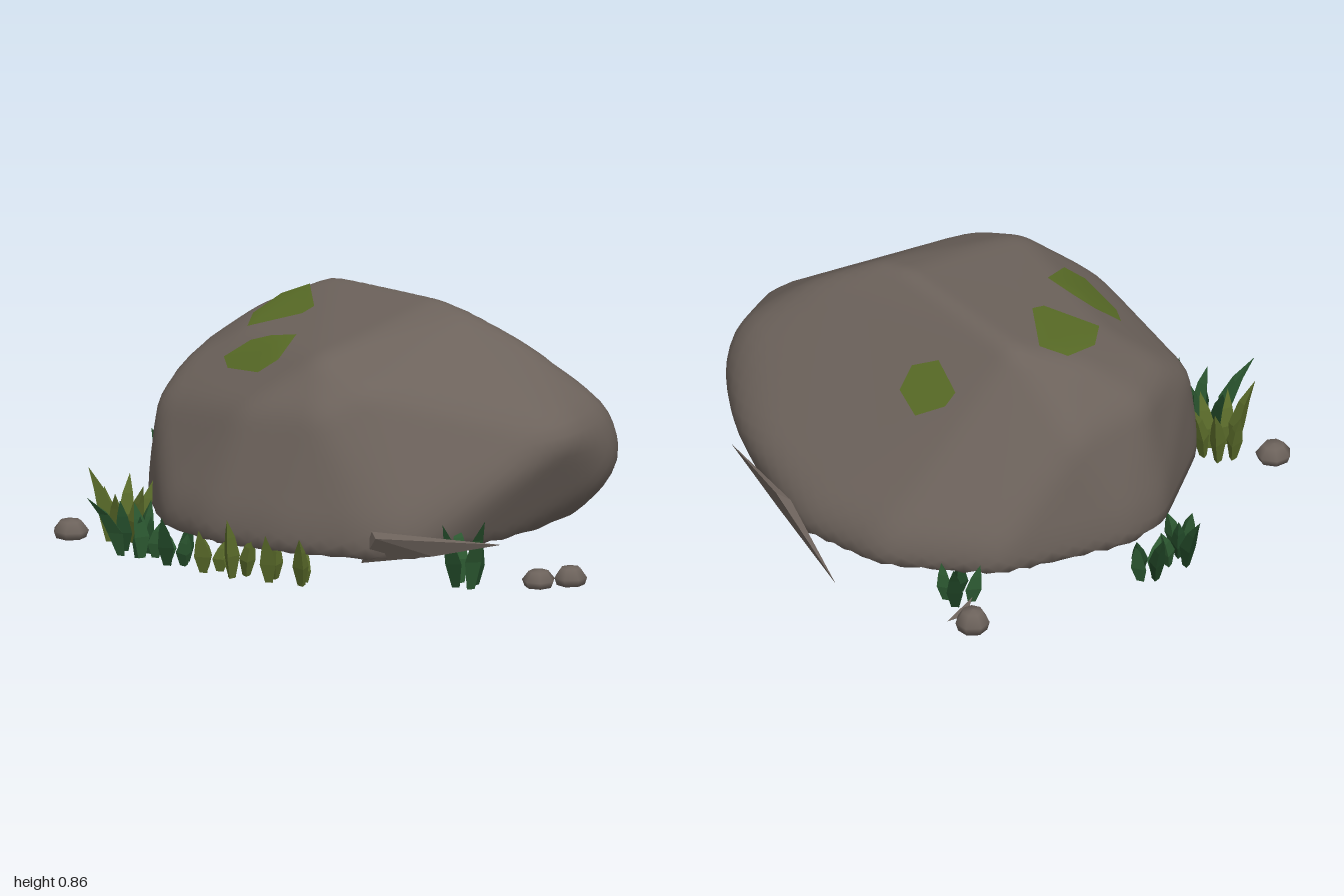
import * as THREE from 'three';
import { mergeVertices } from 'three/addons/utils/BufferGeometryUtils.js';
import { ConvexGeometry } from 'three/addons/geometries/ConvexGeometry.js';

const mat = (name, color, extra = {}) => Object.assign(new THREE.MeshStandardMaterial({ color, ...extra }), { name });
const V = (p) => new THREE.Vector3(...p);

// small seeded generator for natural variation
let seed = 7;
const rnd = () => (seed = (seed * 16807) % 2147483647) / 2147483647;

// main corners of the boulder above its foot
const CROWN = [
  [0.3, 0.865, 0.05], [-0.2, 0.82, -0.3], [0.43, 0.84, 0.12], [0.65, 0.74, 0.1], [0.92, 0.54, 0.05],
  [0, 0.755, 0.55], [0.2, 0.67, 0.66], [-0.41, 0.74, -0.2], [-0.42, 0.7, 0.1], [-0.3, 0.63, 0.42],
  [-0.63, 0.58, -0.15], [-0.63, 0.58, 0.12], [-0.69, 0.48, 0.25], [-0.25, 0.57, 0.65], [0.05, 0.6, 0.74],
  [-0.45, 0.55, -0.42], [0.975, 0.38, 0.05], [0.95, 0.25, 0.1], [0.89, 0.49, 0.38], [0.83, 0.13, 0.1],
  [0.89, 0.28, -0.18], [0.75, 0.28, -0.34],
];
// outline of the foot in x and z
const FOOT = [
  [-0.71, -0.2], [-0.63, -0.36], [-0.22, -0.67], [0.2, -0.71], [0.52, -0.56], [0.7, -0.3], [0.74, 0],
  [0.6, 0.48], [0.39, 0.81], [0.25, 0.84], [-0.08, 0.83], [-0.35, 0.76], [-0.56, 0.62], [-0.71, 0.3],
];

// a sphere pushed out to the corner hull, with the edges softened and the base cut flat
function boulderGeometry() {
  const centre = new THREE.Vector3(0.05, 0.4, 0.05);
  const corners = [...CROWN, ...FOOT.flatMap(([x, z]) => [[x, 0.06, z], [x, 0.2, z]])];
  const hull = new ConvexGeometry(corners.map((c) => V(c).sub(centre))).attributes.position;
  const planes = [];
  for (let i = 0; i < hull.count; i += 3) {
    const [a, b, c] = [0, 1, 2].map((k) => new THREE.Vector3().fromBufferAttribute(hull, i + k));
    planes.push(new THREE.Plane().setFromCoplanarPoints(a, b, c));
  }
  const reach = (d) => 1 / Math.max(...planes.map((p) => p.normal.dot(d) / -p.constant));
  let geo = new THREE.IcosahedronGeometry(1, 20);
  geo.deleteAttribute('uv');
  geo.deleteAttribute('normal');
  geo = mergeVertices(geo, 1e-4);
  const pos = geo.attributes.position;
  const d = new THREE.Vector3(), u = new THREE.Vector3(), w = new THREE.Vector3(), e = new THREE.Vector3();
  for (let i = 0; i < pos.count; i++) {
    d.fromBufferAttribute(pos, i).normalize();
    u.set(0.31, 0.2, 0.93).cross(d).normalize();
    w.crossVectors(d, u);
    let r = reach(d);
    for (let k = 0; k < 8; k++) {
      const a = (k * Math.PI) / 4;
      e.copy(d).addScaledVector(u, 0.065 * Math.cos(a)).addScaledVector(w, 0.065 * Math.sin(a)).normalize();
      r += reach(e);
    }
    d.multiplyScalar(r / 9).add(centre);
    pos.setXYZ(i, d.x, Math.max(d.y, 0.1), d.z);
  }
  geo.computeVertexNormals();
  return geo;
}

// a patch of moss draped over the boulder, from an outline in x and z
function mossGeometry(outline, boulder) {
  const n = outline.length, rings = 5, pos = [], idx = [];
  const cx = outline.reduce((s, p) => s + p[0], 0) / n, cz = outline.reduce((s, p) => s + p[1], 0) / n;
  const ray = new THREE.Raycaster();
  for (let r = 0; r <= rings; r++) {
    for (let i = 0; i < n; i++) {
      const t = r / rings, x = cx + (outline[i][0] - cx) * t, z = cz + (outline[i][1] - cz) * t;
      ray.set(new THREE.Vector3(x, 2, z), new THREE.Vector3(0, -1, 0));
      pos.push(x, ray.intersectObject(boulder)[0].point.y + 0.009, z);
      const a = r * n + i, b = r * n + ((i + 1) % n);
      if (r < rings) idx.push(a, b + n, b, a, a + n, b + n);
    }
  }
  const geo = new THREE.BufferGeometry();
  geo.setAttribute('position', new THREE.Float32BufferAttribute(pos, 3));
  geo.setIndex(idx);
  geo.computeVertexNormals();
  return geo;
}

const profile = (pts) => pts.map((p) => new THREE.Vector2(...p));

// a three-sided grass blade, widest below the middle and bent towards its tip
function bladeGeometry(h, leanX, leanZ) {
  const geo = new THREE.LatheGeometry(profile([[0.016, 0], [0.034, 0.38 * h], [0.022, 0.7 * h], [0, h]]), 3, rnd() * 6);
  const pos = geo.attributes.position;
  for (let i = 0; i < pos.count; i++) {
    const t = (pos.getY(i) / h) ** 2;
    pos.setX(i, pos.getX(i) + leanX * t);
    pos.setZ(i, pos.getZ(i) + leanZ * t);
  }
  geo.computeVertexNormals();
  return geo;
}

export function createModel() {
  const model = new THREE.Group();
  const stone = mat('stone', 0x6c625b);
  const moss = mat('moss', 0x586b26, { side: THREE.DoubleSide });
  const [green, dark, olive] = [['greenGrass', 0x2d5a32], ['darkGrass', 0x1f4425], ['oliveGrass', 0x5a6b2a]]
    .map(([name, color]) => mat(name, color, { flatShading: true, side: THREE.DoubleSide }));
  const add = (name, geo, material, parent = model) => {
    const mesh = new THREE.Mesh(geo, material);
    mesh.name = name;
    parent.add(mesh);
    return mesh;
  };

  const boulder = add('boulder', boulderGeometry(), stone);

  // moss
  [
    [[-0.36, -0.2], [-0.26, -0.22], [-0.17, 0.03], [-0.2, 0.08], [-0.4, 0.09], [-0.42, -0.05]],
    [[-0.44, 0.25], [-0.4, 0.34], [-0.25, 0.47], [-0.18, 0.45], [-0.16, 0.29], [-0.27, 0.24], [-0.35, 0.22]],
    [[0.01, -0.37], [0.04, -0.4], [0.15, -0.4], [0.23, -0.31], [0.2, -0.25], [0.1, -0.26]],
  ].forEach((outline) => add('mossPatch', mossGeometry(outline.reverse(), boulder), moss));

  // thin splinters of stone leaning on the boulder
  [
    [[0.23, 0.08, 0.8], [0.28, 0.21, 0.84], [0.75, 0.19, 0.81], [0.5, 0.13, 0.82], [0.3, 0.19, 0.86]],
    [[0.36, 0.01, -0.72], [0.64, 0.2, -0.48], [0.87, 0.21, -0.22], [0.64, 0.13, -0.46], [0.58, 0.19, -0.5]],
    [[-0.16, 0.08, -0.79], [-0.09, 0.02, -0.88], [-0.14, 0.01, -0.81]],
  ].forEach((pts, i) => {
    if (pts.length > 3) return add('splinter', new ConvexGeometry(pts.map(V)), stone);
    const flake = [...pts, [-0.15, 0.03, -0.82 - i * 0.005]];
    return add('splinter', new ConvexGeometry(flake.map(V)), stone);
  });

  // pebbles with flat undersides: x, z, width, height
  [
    [-0.94, 0.48, 0.13, 0.065], [0.84, 0.64, 0.12, 0.06], [0.94, 0.58, 0.12, 0.065], [-0.18, -0.87, 0.125, 0.08],
  ].forEach(([x, z, w, h], i) => {
    const geo = new THREE.LatheGeometry(profile([[0, 0], [0.85, 0], [1, 0.4], [0.6, 0.92], [0, 1]]), 7, i * 1.3);
    add('pebble', geo.scale(w / 2, h, w / 2), stone).position.set(x, 0, z);
  });

  // tufts of grass: x, z, number of blades, height and lean of the tallest, colours in turn
  [
    [-0.75, 0.47, 6, 0.28, 0.08, [olive]],
    [-0.67, 0.64, 4, 0.23, 0.14, [green, dark]],
    [-0.6, 0.65, 3, 0.21, 0.03, [green, dark]],
    [-0.48, 0.71, 4, 0.18, 0.03, [dark, green]],
    [-0.34, 0.77, 3, 0.16, 0.03, [olive]],
    [-0.23, 0.81, 3, 0.22, 0.03, [olive]],
    [-0.09, 0.83, 2, 0.18, 0.04, [olive]],
    [0.03, 0.85, 2, 0.18, 0.04, [olive]],
    [0.59, 0.71, 4, 0.28, 0.13, [green, dark]],
    [-0.78, -0.27, 3, 0.2, 0.06, [dark, green]],
    [-0.76, -0.17, 2, 0.16, 0.03, [green]],
    [-0.7, -0.38, 4, 0.18, 0.04, [dark, green]],
    [-0.08, -0.7, 4, 0.18, 0.05, [dark, green]],
  ].forEach(([x, z, count, height, bend, colours]) => {
    const tuft = new THREE.Group();
    tuft.name = 'grassTuft';
    tuft.position.set(x, 0, z);
    model.add(tuft);
    for (let i = 0; i < count; i++) {
      // the first blade is tallest, and all bend outwards from the middle
      const a = (i / count) * Math.PI * 2 + Math.atan2(z, x), r = 0.008 + 0.011 * count * (0.6 + 0.4 * rnd());
      const h = height * (i ? 0.6 + 0.25 * rnd() : 1), lean = i ? 0.2 * h * (0.6 + 0.6 * rnd()) : bend;
      const blade = bladeGeometry(h, Math.cos(a) * lean, Math.sin(a) * lean);
      add('grassBlade', blade, colours[i % colours.length], tuft).position.set(Math.cos(a) * r, 0, Math.sin(a) * r);
    }
  });

  return model;
}
